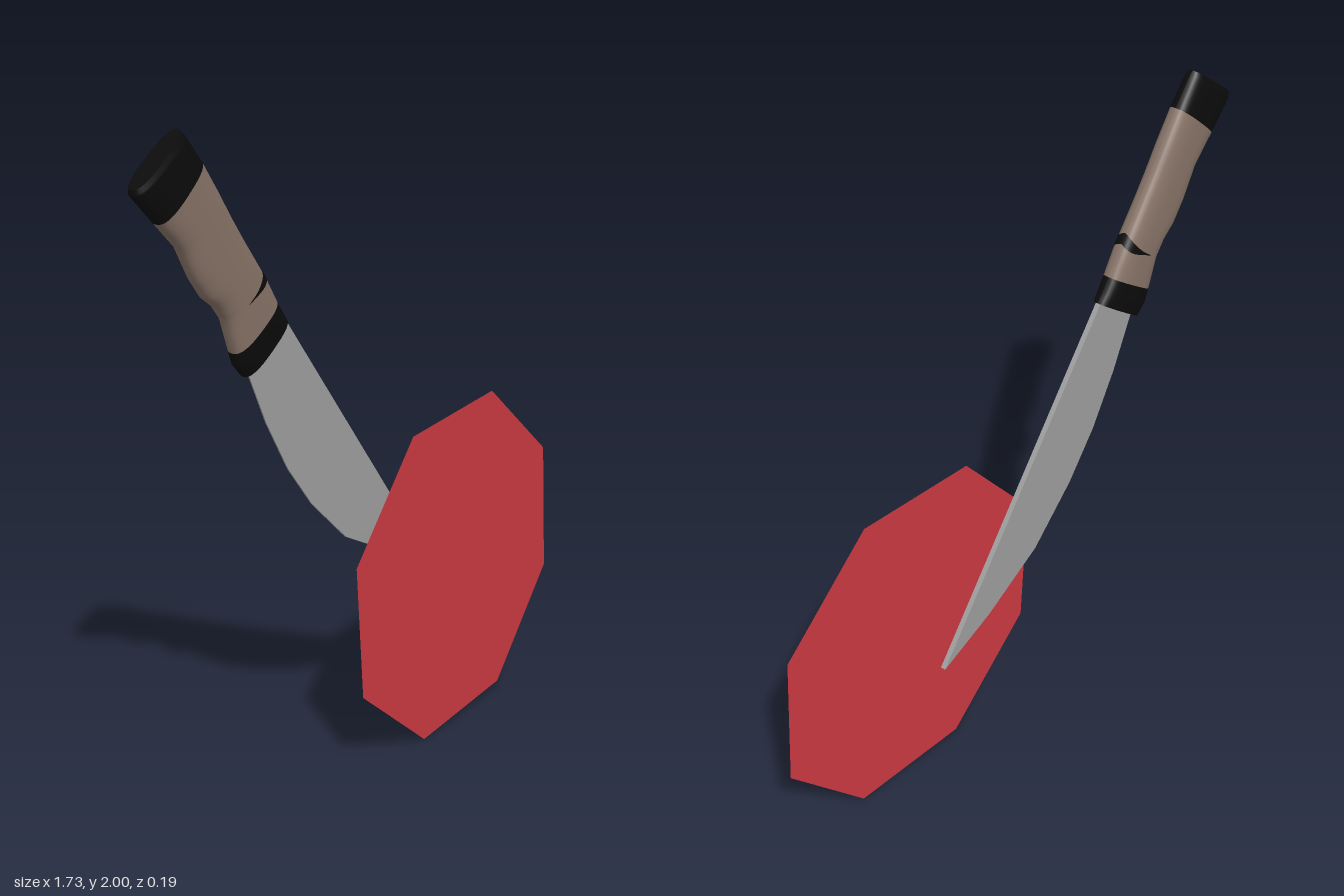
import * as THREE from 'three';

const KNIFE_Z = -0.056;
const lerp = THREE.MathUtils.lerp;

const mat = (name, color, side = THREE.FrontSide) => {
  const m = new THREE.MeshStandardMaterial({ color, side });
  m.name = name;
  return m;
};

// Surface grid: fn(i, j) returns [x, y, z]
function grid(rows, cols, fn) {
  const pos = [], index = [];
  for (let i = 0; i <= rows; i++)
    for (let j = 0; j <= cols; j++) pos.push(...fn(i, j));
  for (let i = 0; i < rows; i++)
    for (let j = 0; j < cols; j++) {
      const a = i * (cols + 1) + j, c = a + cols + 1;
      index.push(a, a + 1, c, a + 1, c + 1, c);
    }
  const g = new THREE.BufferGeometry();
  g.setAttribute('position', new THREE.Float32BufferAttribute(pos, 3));
  g.setIndex(index);
  g.computeVertexNormals();
  return g;
}

// Handle sections from butt to guard: spine x, y, belly x, y, half thickness
const HANDLE = [
  [-0.697, 2.0, -0.866, 1.878, 0.031],
  [-0.682, 1.985, -0.864, 1.86, 0.037],
  [-0.626, 1.913, -0.785, 1.78, 0.0395],
  [-0.568, 1.828, -0.711, 1.706, 0.0395],
  [-0.52, 1.754, -0.663, 1.616, 0.0395],
  [-0.472, 1.685, -0.62, 1.558, 0.0395],
  [-0.43, 1.627, -0.578, 1.526, 0.0395],
  [-0.388, 1.569, -0.546, 1.484, 0.0395],
  [-0.345, 1.5, -0.515, 1.389, 0.0395],
  [-0.319, 1.463, -0.504, 1.352, 0.038],
  [-0.298, 1.436, -0.472, 1.315, 0.034],
];

// Point on the rounded handle at station t and angle a (0 = spine side)
function handlePoint(t, a, scale = 1) {
  const i = Math.min(Math.floor(t), HANDLE.length - 2);
  const [sx, sy, bx, by, hz] = HANDLE[i].map((v, k) => lerp(v, HANDLE[i + 1][k], t - i));
  const round = (v) => Math.sign(v) * Math.abs(v) ** (2 / 2.7) * scale;
  const c = round(Math.cos(a)), s = round(Math.sin(a));
  return [(sx + bx) / 2 + (c * (sx - bx)) / 2, (sy + by) / 2 + (c * (sy - by)) / 2, KNIFE_Z + s * hz];
}

const SIDES = 40;
const angle = (j) => ((j % SIDES) / SIDES) * Math.PI * 2;
const sleeve = (t0, t1) => {
  const rows = (t1 - t0) * 3;
  return grid(rows, SIDES, (i, j) => handlePoint(t0 + i / 3, angle(j)));
};
const cap = (t, r0, r1) => grid(1, SIDES, (i, j) => handlePoint(t, angle(j), i ? r1 : r0));

// Wedge shaped inlay wrapped over the spine of the grip, pointed at both ends
function inlay() {
  return grid(4, 32, (i, j) => {
    const u = j / 16 - 1, k = Math.abs(u);
    const top = lerp(6.3, 6.92, k);
    const bottom = lerp(6.75, 6.92, k) + 0.13 * Math.sin(Math.PI * k);
    return handlePoint(lerp(top, bottom, i / 4), u * 1.72, 1.02);
  });
}

// Blade: straight thick spine and curved thin edge; fraction along spine, edge x, y
function blade() {
  const S = [
    [0, -0.478, 1.355], [0.04, -0.457, 1.325], [0.17, -0.383, 1.161], [0.33, -0.293, 1.003],
    [0.48, -0.187, 0.865], [0.66, -0.028, 0.712], [0.84, 0.184, 0.597], [1, 0.385, 0.52],
  ];
  const g = grid(S.length - 1, 4, (i, j) => {
    const [f, bx, by] = S[i];
    const k = j % 4;
    const z = k === 1 || k === 2 ? 1 : -1;
    return k < 2
      ? [lerp(-0.313, 0.385, f), lerp(1.45, 0.52, f), KNIFE_Z + z * 0.008]
      : [bx, by, KNIFE_Z + z * lerp(0.002, 0.008, f ** 4)];
  }).toNonIndexed();
  g.computeVertexNormals();
  return g;
}

export function createModel() {
  const red = mat('red', 0xcc3a42, THREE.DoubleSide);
  const steel = mat('steel grey', 0xa0a0a0);
  const brown = mat('grip brown', 0x877367);
  const black = mat('black', 0x0b0b0c);

  const model = new THREE.Group();
  model.name = 'knifeAndOctagon';
  const knife = new THREE.Group();
  knife.name = 'knife';
  model.add(knife);

  const add = (parent, name, geometry, material) => {
    const m = new THREE.Mesh(geometry, material);
    m.name = name;
    parent.add(m);
    return m;
  };

  // Knife
  add(knife, 'pommel', sleeve(0, 2), black);
  add(knife, 'pommelCap', cap(0, 0, 1), black);
  add(knife, 'grip', sleeve(2, 8), brown);
  add(knife, 'gripInlay', inlay(), black);
  add(knife, 'guard', sleeve(8, 10), black);
  add(knife, 'guardCap', cap(10, 1, 0), black);
  add(knife, 'blade', blade(), steel);

  // Flat octagon in front of the blade tip
  const octagon = new THREE.CircleGeometry(0.523, 8, THREE.MathUtils.degToRad(71.7));
  octagon.scale(0.55 / 0.523, 0.55 / 0.523, 1);
  add(model, 'octagonPlate', octagon, red).position.set(0.346, 0.5265, 0.095);

  return model;
}
